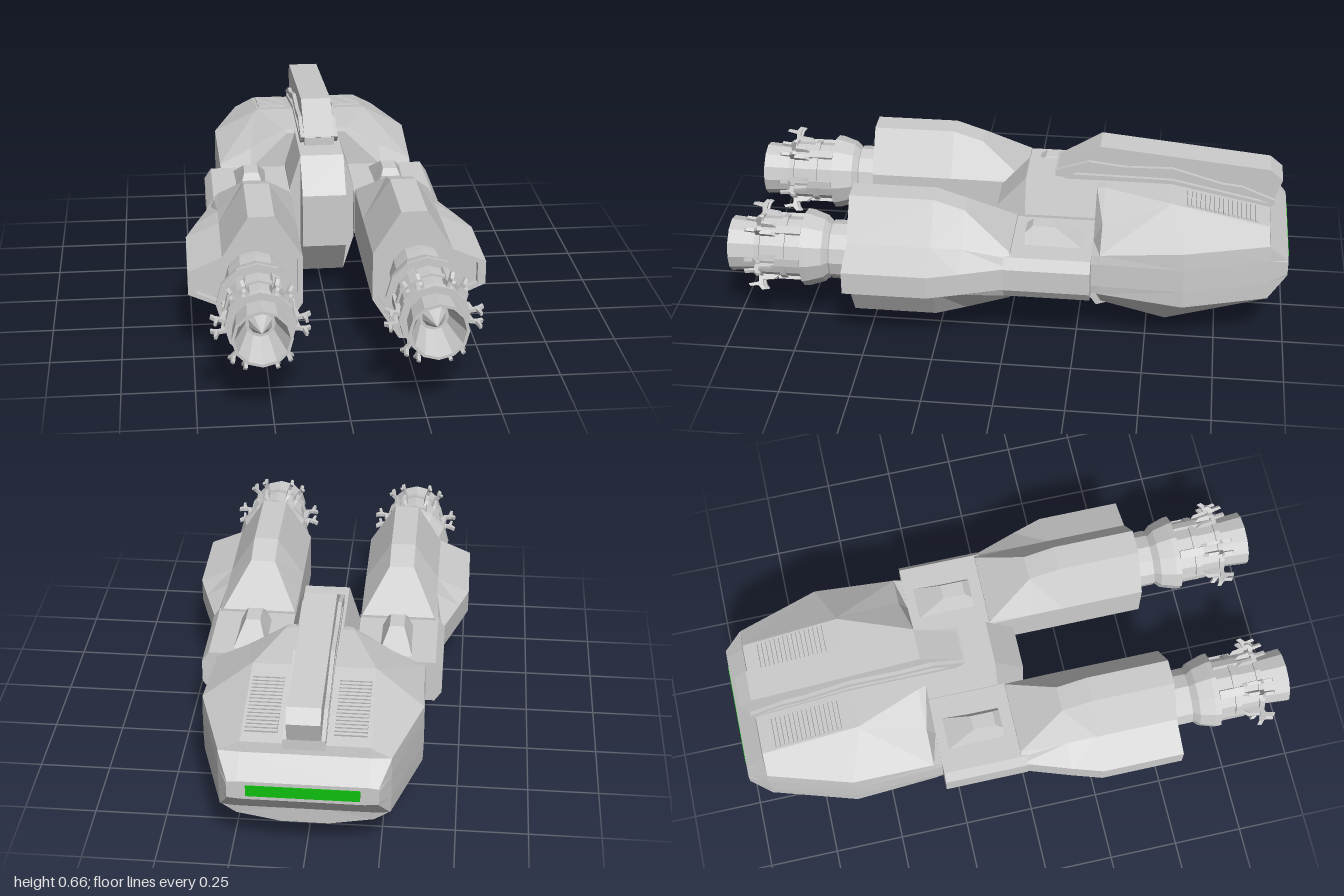
import * as THREE from 'three';

const grey = new THREE.MeshStandardMaterial({ color: 0xcccccc, flatShading: true, side: THREE.DoubleSide });
const green = new THREE.MeshStandardMaterial({ color: 0x0fc00f, flatShading: true });

function part(parent, name, geometry, material = grey) {
  const mesh = new THREE.Mesh(geometry, material);
  mesh.name = name;
  parent.add(mesh);
  return mesh;
}

const dist = (p, q) => Math.hypot(p[0] - q[0], p[1] - q[1], p[2] - q[2]);

// Skin between sections [z, [[x, y, zShift], ...]], counter-clockwise seen from +z, with fan caps.
// Each quad is split along its shorter diagonal.
function loft(sections) {
  const rings = sections.map(([z, pts]) => pts.map(([x, y, dz = 0]) => [x, y, z + dz]));
  const pos = [];
  const n = rings[0].length;
  for (let i = 0; i < rings.length - 1; i++) {
    for (let j = 0; j < n; j++) {
      const k = (j + 1) % n;
      const [a, b, c, d] = [rings[i][j], rings[i][k], rings[i + 1][k], rings[i + 1][j]];
      if (dist(a, c) < dist(b, d)) pos.push(...a, ...b, ...c, ...a, ...c, ...d);
      else pos.push(...a, ...b, ...d, ...b, ...c, ...d);
    }
  }
  for (const [ring, last] of [[rings[0], false], [rings[rings.length - 1], true]]) {
    const mid = [0, 1, 2].map(m => ring.reduce((s, p) => s + p[m], 0) / n);
    for (let j = 0; j < n; j++) {
      const p = ring[j], q = ring[(j + 1) % n];
      pos.push(...mid, ...(last ? p : q), ...(last ? q : p));
    }
  }
  const g = new THREE.BufferGeometry();
  g.setAttribute('position', new THREE.Float32BufferAttribute(pos, 3));
  g.computeVertexNormals();
  return g;
}

const flip = pts => pts.map(([x, ...rest]) => [-x, ...rest]).reverse();

// Right half of a section, bottom to top, completed by its mirror image
const whole = half => [...half, ...flip(half)];

// Sections for one side; the -x side is mirrored with its order reversed
const onSide = (s, sections) => s > 0 ? sections : sections.map(([z, pts]) => [z, flip(pts)]);

// Outline in (z, y) extruded across x, from -w to +w
function slab(points, w) {
  const shape = new THREE.Shape(points.map(p => new THREE.Vector2(...p)));
  return new THREE.ExtrudeGeometry(shape, { depth: 2 * w, bevelEnabled: false })
    .rotateY(-Math.PI / 2).translate(w, 0, 0);
}

const box = (w, h, d, x, y, z) => new THREE.BoxGeometry(w, h, d).translate(x, y, z);

function makeEngine() {
  const engine = new THREE.Group();
  engine.name = 'engine';
  // Housing, flared collar, rings and hollow nozzle
  const profile = [[0.1, 0.5], [0.105, 0.57], [0.105, 0.63], [0.1, 0.635], [0.12, 0.655], [0.138, 0.71], [0.14, 0.73],
    [0.112, 0.73], [0.112, 0.79], [0.12, 0.79], [0.12, 0.81], [0.112, 0.81], [0.112, 0.88], [0.12, 0.88],
    [0.118, 0.9], [0.092, 0.9], [0.1, 1], [0.09, 1], [0.05, 0.88], [0, 0.88]];
  part(engine, 'nozzle', new THREE.LatheGeometry(profile.map(p => new THREE.Vector2(...p)), 12).rotateX(Math.PI / 2));
  part(engine, 'nozzlePlug', new THREE.ConeGeometry(0.04, 0.08, 10).rotateX(Math.PI / 2).translate(0, 0, 0.92));
  // Claws around the nozzle, each a pair of splayed hooks on a clamp bar
  for (let i = 0; i < 6; i++) {
    const spoke = new THREE.Group();
    spoke.name = 'claw';
    spoke.rotation.z = i * Math.PI / 3;
    for (const side of [-1, 1]) {
      const arm = slab([[0.82, 0.108], [0.84, 0.125], [0.88, 0.13], [0.875, 0.15], [0.865, 0.163], [0.88, 0.166],
        [0.895, 0.15], [0.925, 0.155], [0.93, 0.146], [0.895, 0.138], [0.895, 0.108]], 0.006);
      // the outline stands along +y, so turn it outwards
      part(spoke, 'clawArm', arm.rotateZ(-Math.PI / 2 + side * 0.16));
    }
    part(spoke, 'clampBar', box(0.014, 0.03, 0.09, 0.113, 0, 0.78));
    engine.add(spoke);
  }
  return engine;
}

export function createModel() {
  const ship = new THREE.Group();
  ship.name = 'spaceship';

  // Faceted front hull, with a notch at the rear of each shoulder
  const back = -0.06;
  part(ship, 'hull', loft([
    [-0.997, whole([[0.08, 0.28], [0.2, 0.28], [0.247, 0.284], [0.25, 0.29], [0.25, 0.34], [0.247, 0.346],
      [0.215, 0.35], [0.2, 0.35]])],
    [-0.93, whole([[0.08, 0.2], [0.23, 0.2], [0.283, 0.205], [0.285, 0.27], [0.285, 0.36], [0.283, 0.415],
      [0.215, 0.42], [0.21, 0.42]])],
    [-0.925, whole([[0.08, 0.14], [0.23, 0.168], [0.284, 0.205], [0.287, 0.27], [0.287, 0.36], [0.284, 0.42],
      [0.215, 0.456], [0.21, 0.458]])],
    [-0.57, whole([[0.08, 0.055], [0.285, 0.098], [0.377, 0.205, back], [0.379, 0.27, back], [0.379, 0.36, back],
      [0.377, 0.425, back], [0.215, 0.527], [0.21, 0.53]])],
    [-0.335, whole([[0.08, 0.09], [0.24, 0.125], [0.368, 0.235], [0.372, 0.27], [0.372, 0.36], [0.368, 0.395],
      [0.25, 0.455], [0.12, 0.53]])],
    [-0.305, whole([[0.08, 0.1], [0.22, 0.16], [0.365, 0.24], [0.37, 0.27], [0.37, 0.36], [0.365, 0.386],
      [0.25, 0.386], [0.11, 0.525]])],
  ]));
  part(ship, 'window', box(0.375, 0.042, 0.02, 0, 0.315, -0.99), green);

  // Central block between the pods, with its wedge-shaped stern
  const core = whole([[0.08, 0.07], [0.12, 0.2], [0.12, 0.4], [0.08, 0.53]]);
  part(ship, 'coreBlock', loft([[-0.35, core], [-0.045, core]]));
  part(ship, 'sternWedge', slab([[-0.1, 0.07], [-0.045, 0.07], [0.06, 0.21], [0.06, 0.41], [-0.045, 0.53], [-0.1, 0.53]], 0.08));
  part(ship, 'keel', slab([[-0.28, 0.09], [-0.285, 0.035], [-0.31, 0], [-0.46, 0.055], [-0.46, 0.1]], 0.078));

  // Raised spine and the rails along it
  part(ship, 'spine', slab([[-0.15, 0.52], [-0.15, 0.56], [-0.31, 0.66], [-0.92, 0.6], [-0.965, 0.562],
    [-0.935, 0.47], [-0.9, 0.45], [-0.6, 0.5]], 0.056));
  part(ship, 'spineRails', slab([[-0.18, 0.535], [-0.15, 0.562], [-0.27, 0.603], [-0.4, 0.588], [-0.57, 0.592],
    [-0.75, 0.54], [-0.82, 0.533], [-0.94, 0.485], [-0.94, 0.465], [-0.82, 0.512], [-0.75, 0.518],
    [-0.57, 0.568], [-0.4, 0.565], [-0.27, 0.58], [-0.2, 0.545]], 0.07));
  part(ship, 'spineBase', slab([[-0.2, 0.52], [-0.16, 0.55], [-0.57, 0.545], [-0.93, 0.47], [-0.93, 0.44], [-0.57, 0.51]], 0.07));

  // Pod sections
  const end = [[0.215, 0.07], [0.305, 0.07], [0.395, 0.215], [0.513, 0.268], [0.513, 0.352],
    [0.395, 0.403], [0.305, 0.547], [0.215, 0.547], [0.12, 0.395], [0.12, 0.222]];
  const shoulder = end.map(([x, y]) => [x > 0.5 ? 0.478 : x, y > 0.5 ? 0.512 : y < 0.1 ? 0.105 : y]);
  const neck = [[0.125, 0.215], [0.39, 0.215], [0.405, 0.23], [0.42, 0.268], [0.42, 0.352],
    [0.405, 0.385], [0.39, 0.4], [0.125, 0.4], [0.12, 0.39], [0.12, 0.225]];
  const inset = end.map(([x, y]) => [0.275 + (x - 0.275) * 0.88, 0.309 + (y - 0.309) * 0.9]);
  const bridge = [[0.118, 0.23], [0.405, 0.23], [0.43, 0.268], [0.43, 0.352], [0.405, 0.39], [0.118, 0.39]];
  const hatch = (w, y) => [[0.2, 0.38], [0.32, 0.38], [0.26 + w, y], [0.26 - w, y]];

  for (const s of [1, -1]) {
    const pod = new THREE.Group();
    pod.name = s > 0 ? 'leftPod' : 'rightPod';
    ship.add(pod);
    part(pod, 'podBody', loft(onSide(s, [[-0.02, neck], [0.15, shoulder], [0.26, end], [0.56, end],
      [0.56, inset], [0.535, inset]])));
    part(pod, 'podBridge', loft(onSide(s, [[-0.305, bridge], [0, bridge]])));
    part(pod, 'podHatch', loft(onSide(s, [[-0.27, hatch(0.06, 0.39)], [-0.17, hatch(0.026, 0.452)],
      [-0.09, hatch(0.026, 0.452)], [-0.065, hatch(0.035, 0.43)]])));
    const engine = makeEngine();
    engine.position.set(s * 0.284, 0.31, 0);
    pod.add(engine);

    // Slatted vent on the sloping roof
    const vent = new THREE.Group();
    vent.name = 'vent';
    vent.position.set(s * 0.147, 0.494, -0.755);
    vent.rotation.x = -Math.atan(0.072 / 0.355);
    for (let i = 0; i < 16; i++) {
      const slat = part(vent, 'ventSlat', new THREE.BoxGeometry(0.108, 0.008, 0.011));
      slat.position.set(0, 0.002, (i - 7.5) * 0.0165);
    }
    ship.add(vent);
  }
  return ship;
}
